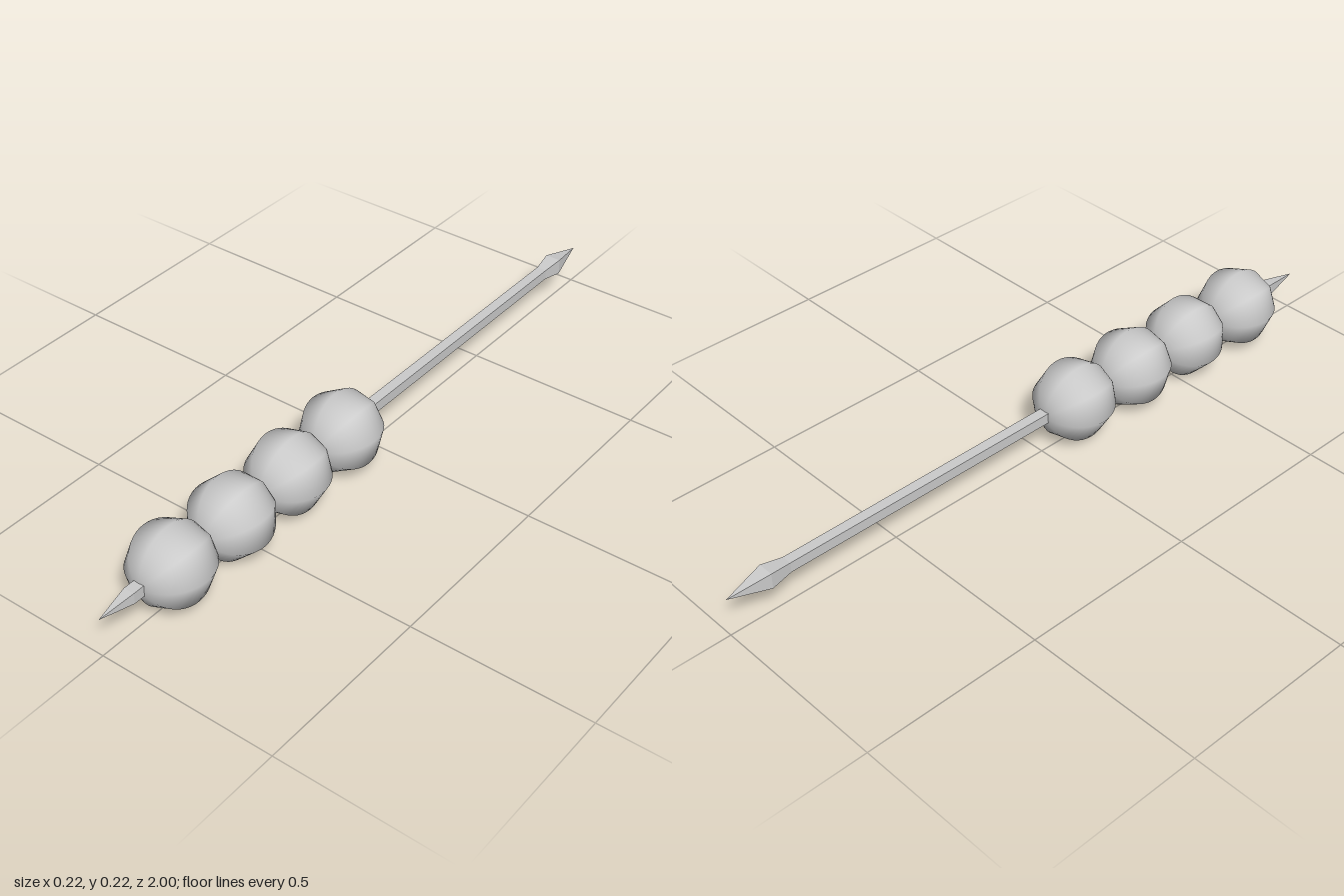
import * as THREE from 'three';

const AXIS_Y = 0.112;

export function createModel() {
  const group = new THREE.Group();
  const smooth = new THREE.MeshStandardMaterial({ color: 0xcccccc });
  const flat = new THREE.MeshStandardMaterial({ color: 0xcccccc, flatShading: true });

  // Square skewer: [half width, z] from the spear-shaped back end to the front point
  const profile = [
    [0, -1], [0.0225, -0.885], [0.0145, -0.825], [0.0155, 0.9], [0.008, 0.95], [0, 1],
  ].map(([half, z]) => new THREE.Vector2(half * Math.SQRT2, z));
  const skewerGeometry = new THREE.LatheGeometry(profile, 4, Math.PI / 4);
  skewerGeometry.rotateX(Math.PI / 2);
  const skewer = new THREE.Mesh(skewerGeometry, flat);
  skewer.name = 'skewer';
  skewer.position.y = AXIS_Y;
  group.add(skewer);

  // Four eight-sided balls, each turned a little differently about the skewer
  const ballGeometry = new THREE.SphereGeometry(0.111, 8, 24);
  ballGeometry.rotateX(Math.PI / 2);
  [0.02, 0.36, -0.12, 0.15].forEach((turn, i) => {
    const ball = new THREE.Mesh(ballGeometry, smooth);
    ball.name = `ball${i + 1}`;
    ball.position.set(0, AXIS_Y, 0.759 - i * 0.2137);
    ball.rotation.z = turn;
    group.add(ball);
  });

  return group;
}
